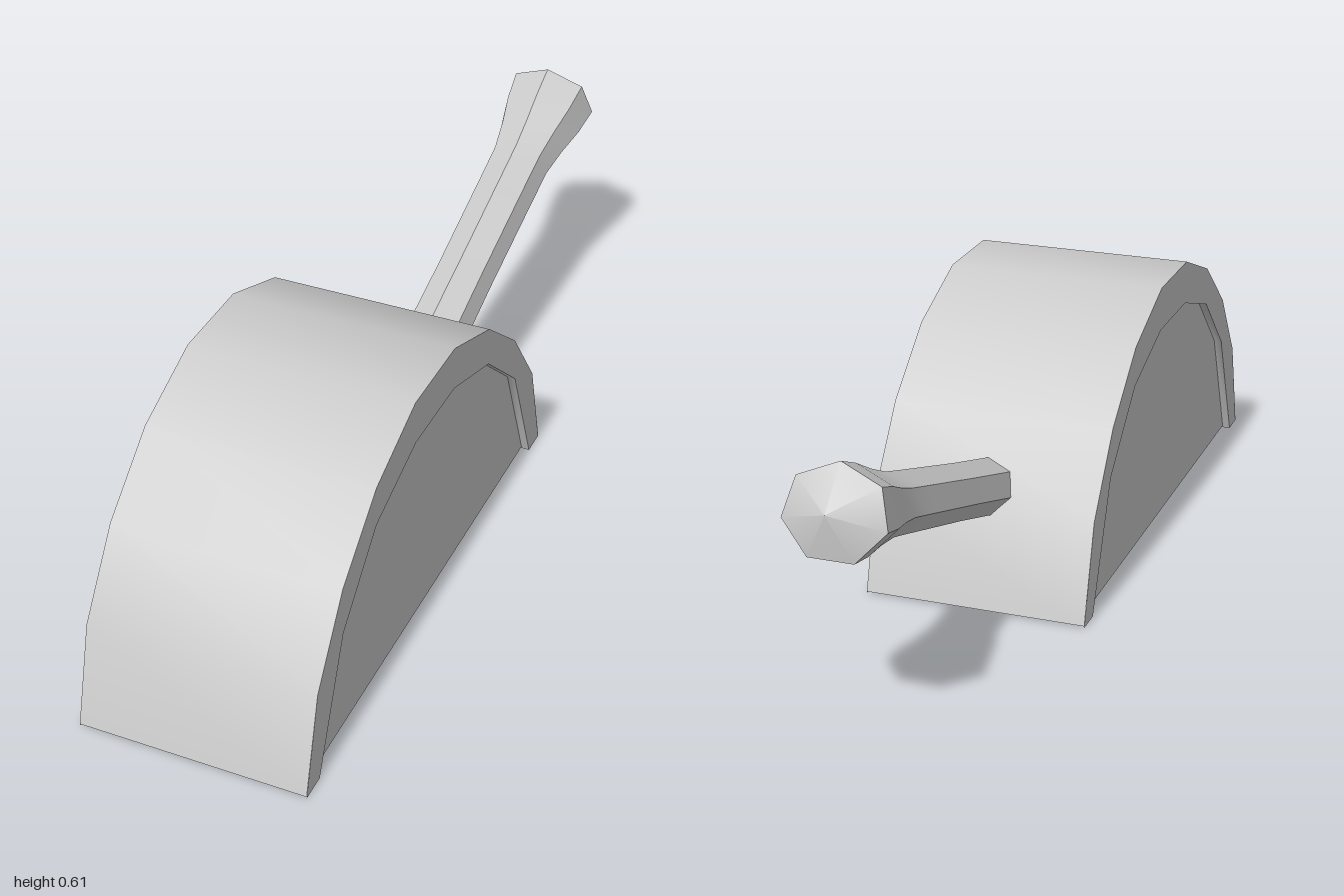
import * as THREE from 'three';
import { toCreasedNormals } from 'three/addons/utils/BufferGeometryUtils.js';

// Arch profiles as [z, y], front to back
const OUTER = [[1, 0], [0.94, 0.22], [0.82, 0.39], [0.66, 0.52], [0.47, 0.595],
  [0.265, 0.595], [0.07, 0.52], [-0.09, 0.39], [-0.215, 0.22], [-0.275, 0]];
const INNER = [[0.94, 0], [0.82, 0.28], [0.66, 0.43], [0.465, 0.495],
  [0.265, 0.495], [0.07, 0.43], [-0.1, 0.28], [-0.215, 0]];
const HALF = 0.252, PANEL = 0.234;

const sheet = new THREE.MeshStandardMaterial({ color: 0xcccccc, side: THREE.DoubleSide });
const solid = new THREE.MeshStandardMaterial({ color: 0xcccccc });

function named(name, geometry, material) {
  const mesh = new THREE.Mesh(geometry, material);
  mesh.name = name;
  return mesh;
}

// Open sheet following a profile from x0 to x1; its free ends stop at y = bottom
function strip(profile, x0, x1, bottom = 0) {
  const pos = [], index = [];
  profile.forEach(([z, y], i) => {
    const h = Math.max(y, bottom);
    pos.push(x0, h, z, x1, h, z);
    if (i) {
      const a = 2 * i - 2;
      index.push(a, a + 2, a + 1, a + 1, a + 2, a + 3);
    }
  });
  const g = new THREE.BufferGeometry();
  g.setAttribute('position', new THREE.Float32BufferAttribute(pos, 3));
  g.setIndex(index);
  g.computeVertexNormals();
  return toCreasedNormals(g, 0.7);
}

// Flat face outlined in [z, y], standing at x and facing outwards on the given side
function face(points, x, side) {
  const shape = new THREE.Shape(points.map(([z, y]) => new THREE.Vector2(-side * z, y)));
  const g = new THREE.ShapeGeometry(shape);
  g.rotateY(side * Math.PI / 2);
  g.translate(side * x, 0, 0);
  return g;
}

// Seven-sided grip, slim in the middle and flared at both ends, with domed caps
function handleGeometry() {
  const length = 1.215, rows = 16;
  const g = new THREE.CylinderGeometry(1, 1, length, 7, rows);
  const p = g.attributes.position;
  for (let i = 0; i < p.count; i++) {
    const x = p.getX(i), y = p.getY(i), z = p.getZ(i);
    if (Math.hypot(x, z) < 0.01) {
      p.setY(i, y + Math.sign(y) * 0.05);
      continue;
    }
    const t = Math.abs(y) / (length / 2);
    const flare = THREE.MathUtils.smoothstep(t, 0.6, 1);
    const r = 0.062 + 0.004 * t + 0.0315 * flare;
    p.setXYZ(i, x * r * 1.13, y, z * r);
  }
  // Lay the grip along its sloping axis, outer end at the back
  const angle = -1.245;
  g.translate(0, -length / 2, 0);
  g.rotateX(angle);
  g.translate(0.012, 0.513, -0.951);
  return toCreasedNormals(g, 0.6);
}

export function createModel() {
  const model = new THREE.Group();
  model.name = 'scoop';

  // Curved body, open underneath
  model.add(named('curvedShell', strip(OUTER, -HALF, HALF, 0.004), sheet));

  // Raised rim and recessed panel on both sides
  for (const side of [1, -1]) {
    const wall = new THREE.Group();
    wall.name = side > 0 ? 'leftWall' : 'rightWall';
    const ring = [...OUTER, ...[...INNER].reverse()];
    wall.add(named('rim', face(ring, HALF, side), sheet));
    wall.add(named('rimStep', strip(INNER, side * PANEL, side * HALF), sheet));
    const panel = INNER.map(([z, y]) => [z, Math.max(y, 0.005)]);
    wall.add(named('sidePanel', face(panel, PANEL, side), sheet));
    model.add(wall);
  }

  // Handle passing through the back of the shell
  model.add(named('handle', handleGeometry(), solid));
  return model;
}
